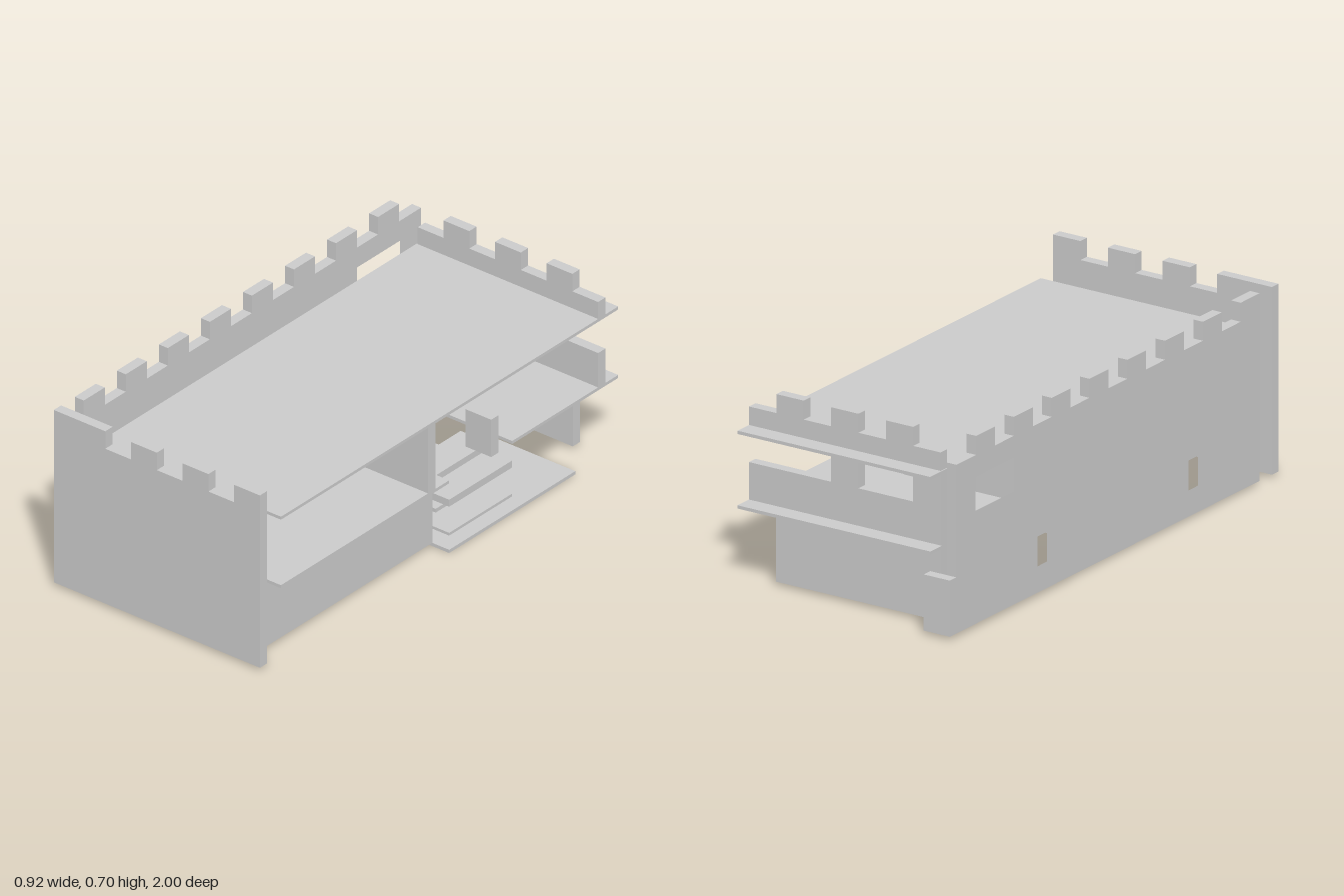
import * as THREE from 'three';

const U = 0.115;      // battlement module
const T = 0.04;       // wall thickness
const BASE = 0.013, MID = 0.28, ROOF = 0.555, SLAB = 0.012;
const LOW = 0.635, HIGH = 0.705;

export function createModel() {
  const root = new THREE.Group();
  const stone = new THREE.MeshStandardMaterial({ color: 0xcccccc });
  stone.name = 'paleStone';

  const add = (name, geometry) => {
    const mesh = new THREE.Mesh(geometry, stone);
    mesh.name = name;
    root.add(mesh);
    return mesh;
  };

  // Box given by its extents on each axis
  const box = (name, x0, x1, y0, y1, z0, z1) => {
    const g = new THREE.BoxGeometry(x1 - x0, y1 - y0, z1 - z0);
    g.translate((x0 + x1) / 2, (y0 + y1) / 2, (z0 + z1) / 2);
    return add(name, g);
  };

  // Upright wall outline from a to b, raised to HIGH over each merlon span
  const wallShape = (a, b, bottom, merlons) => {
    const s = new THREE.Shape();
    s.moveTo(a, bottom);
    let level = LOW;
    s.lineTo(a, merlons[0][0] <= a ? HIGH : LOW);
    for (const [m0, m1] of merlons) {
      if (m0 > a) { s.lineTo(m0, level); s.lineTo(m0, HIGH); }
      s.lineTo(m1, HIGH);
      if (m1 < b) s.lineTo(m1, LOW);
    }
    if (merlons[merlons.length - 1][1] < b) s.lineTo(b, LOW);
    s.lineTo(b, bottom);
    s.closePath();
    return s;
  };

  const hole = (x0, x1, y0, y1) => {
    const p = new THREE.Path();
    p.moveTo(x0, y0); p.lineTo(x0, y1); p.lineTo(x1, y1); p.lineTo(x1, y0);
    p.closePath();
    return p;
  };

  const extrude = (shape) => new THREE.ExtrudeGeometry(shape, { depth: T, bevelEnabled: false });

  // Front wall
  add('frontWall', extrude(wallShape(-0.46, 0.46, BASE,
    [[-0.46, -2 * U], [-U, 0], [U, 2 * U], [3 * U, 0.46]])).translate(0, 0, 0.96));

  // Rear parapet above the roof
  add('rearParapet', extrude(wallShape(-0.345, 0.46, ROOF + SLAB,
    [[-2 * U, -U], [0, U], [2 * U, 3 * U]])).translate(0, 0, -0.89));

  // Long side wall, drawn along -z, with a window and two slits
  const sideMerlons = [];
  for (let i = 0; i < 8; i++) {
    const start = -0.885 + 2 * U * i;
    sideMerlons.push([start, start + U]);
  }
  const side = wallShape(-0.885, 0.96, BASE, sideMerlons);
  side.holes.push(hole(0.61, 0.845, 0.43, ROOF));
  side.holes.push(hole(0.41, 0.467, 0.11, 0.22));
  side.holes.push(hole(-0.51, -0.453, 0.11, 0.22));
  add('longSideWall', extrude(side).rotateY(Math.PI / 2).translate(-0.46, 0, 0));
  box('rearCornerBlock', -0.46, -0.35, BASE, 0.22, -1, -0.96);
  box('slitStep', -0.42, -0.36, BASE, 0.028, -0.485, -0.395);

  // Roof and the two middle floors, separated by the stairwell
  box('roofSlab', -0.35, 0.46, ROOF, ROOF + SLAB, -0.96, 0.885);
  box('frontMiddleFloor', -0.35, 0.46, MID, MID + SLAB, -0.035, 0.885);
  box('rearMiddleFloor', -0.35, 0.46, MID, MID + SLAB, -0.96, -0.38);

  // Ground plates
  box('frontGroundPlate', -U, U, 0, BASE, 0.31, 0.655);
  box('stairGroundPlate', 0, 0.46, 0, BASE, -0.725, -0.035);
  box('sideGroundPlate', -3 * U, -2 * U, 0, BASE, -0.61, -0.265);

  // Lower storey walls, with a doorway in the cross wall
  box('lowerLongWall', 0.345, 0.385, BASE, MID, -0.035, 0.885);
  box('lowerRearWall', -0.35, 0.347, BASE, MID, -0.89, -0.85);
  box('lowerCrossWallInner', 0, 0.345, BASE, MID, 0.04, 0.08);
  box('lowerCrossWallOuter', -0.35, -U, BASE, MID, 0.04, 0.08);
  box('doorLintel', -U, 0, 0.22, MID, 0.04, 0.08);

  // Upper storey: rear sill with two posts, partitions and stair rail
  const up = MID + SLAB;
  box('upperRearSill', -0.35, 0.46, up, 0.43, -0.89, -0.85);
  box('rearPost', 0, U, 0.43, ROOF, -0.89, -0.85);
  box('rearCornerPost', -0.35, -2 * U, 0.43, ROOF, -0.89, -0.85);
  box('upperCrossWall', -0.35, 0.46, up, ROOF, 0.04, 0.08);
  box('upperWallStub', -U, -0.075, up, ROOF, -0.035, 0.04);
  box('upperInnerWall', -0.35, 0, MID, ROOF, -0.305, -0.265);
  box('stairRail', 0.345, 0.46, MID, 0.43, -0.305, -0.265);

  // Floating stair treads: [x0, x1, y0, y1]
  const treads = [
    [0.23, 0.46, 0.07, 0.081],
    [0.12, 0.40, 0.14, 0.155],
    [0.345, 0.46, 0.186, 0.214],
    [0.23, 0.355, 0.222, 0.247],
  ];
  treads.forEach(([x0, x1, y0, y1], i) => box('stairTread' + (i + 1), x0, x1, y0, y1, -0.38, -0.035));

  return root;
}
